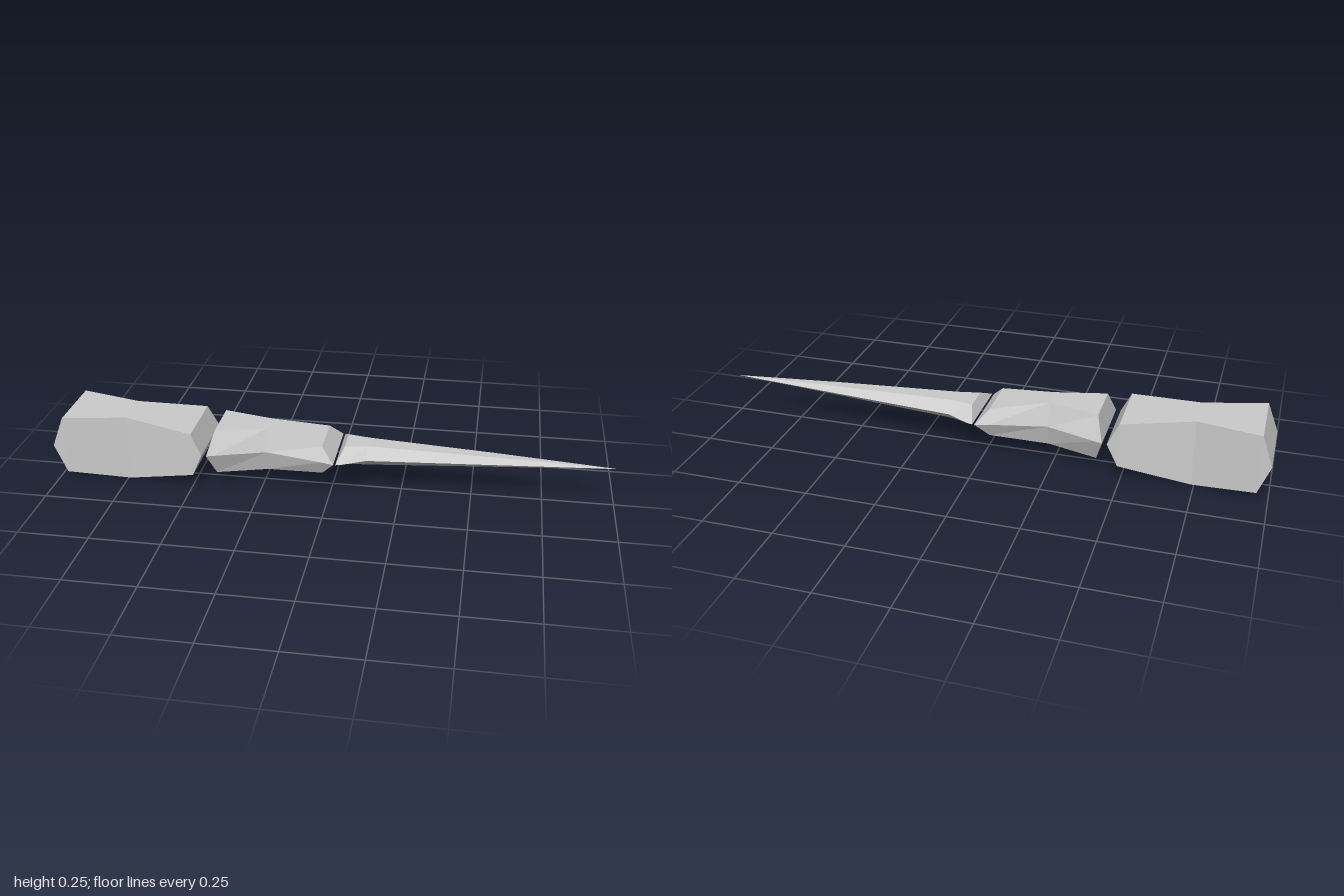
import * as THREE from 'three';

const MID = 0.143; // height of the shared centre line

// Six-sided faceted loft along x. Station: [x, yTop, yBottom, topHalfWidth, midHalfWidth, bottomHalfWidth]
function facetedLoft(name, stations, material) {
  const rings = stations.map(([x, top, bottom, wt, wm, wb]) => [
    [top, wt], [top, -wt], [MID, -wm], [bottom, -wb], [bottom, wb], [MID, wm],
  ].map(([y, z]) => new THREE.Vector3(x, y, z)));
  const positions = [];
  const triangle = (a, b, c) => {
    const area = new THREE.Triangle(a, b, c).getArea();
    if (area > 1e-7) for (const p of [a, b, c]) positions.push(p.x, p.y, p.z);
  };
  for (let s = 0; s < rings.length - 1; s++) {
    for (let i = 0; i < 6; i++) {
      const j = (i + 1) % 6;
      const a = rings[s][i], b = rings[s][j], c = rings[s + 1][j], d = rings[s + 1][i];
      triangle(a, c, b);
      triangle(a, d, c);
    }
  }
  const geometry = new THREE.BufferGeometry();
  geometry.setAttribute('position', new THREE.Float32BufferAttribute(positions, 3));
  geometry.computeVertexNormals();
  const mesh = new THREE.Mesh(geometry, material);
  mesh.name = name;
  return mesh;
}

// End station that closes a segment in a horizontal ridge
const ridge = (x, w) => [x, MID, MID, w, w, w];

export function createModel() {
  const group = new THREE.Group();
  group.name = 'segmentedSpike';
  const stone = new THREE.MeshStandardMaterial({ color: 0xcccccc, flatShading: true });

  // Thick block, straight sides pinched at the middle
  group.add(facetedLoft('baseSegment', [
    ridge(-1, 0.13),
    [-0.96, 0.25, 0.035, 0.122, 0.122, 0.122],
    [-0.74, 0.245, 0, 0.072, 0.072, 0.072],
    [-0.49, 0.22, 0.058, 0.12, 0.12, 0.12],
    ridge(-0.452, 0.13),
  ], stone));

  // Middle block with bevelled sides
  group.add(facetedLoft('middleSegment', [
    ridge(-0.435, 0.13),
    [-0.41, 0.226, 0.058, 0.085, 0.122, 0.085],
    [-0.23, 0.226, 0.063, 0.042, 0.066, 0.042],
    [-0.025, 0.192, 0.088, 0.085, 0.112, 0.085],
    ridge(0.02, 0.125),
  ], stone));

  // Long tapering claw
  group.add(facetedLoft('tipSpike', [
    ridge(0.027, 0.125),
    [0.05, 0.18, 0.112, 0.05, 0.118, 0.05],
    [0.13, 0.18, 0.107, 0.034, 0.076, 0.034],
    [0.57, 0.163, 0.126, 0.018, 0.038, 0.018],
    ridge(1, 0),
  ], stone));

  return group;
}
